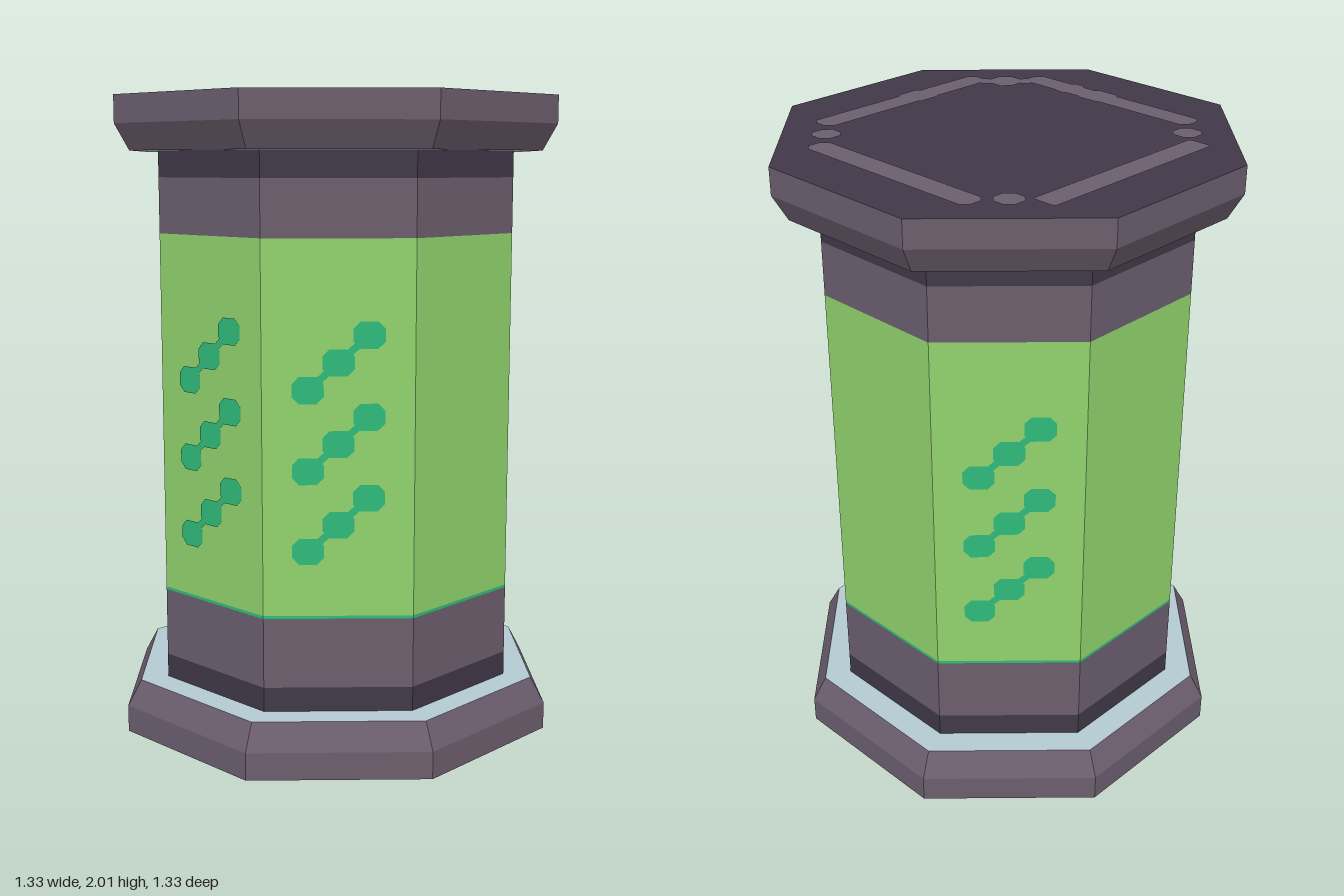
import * as THREE from 'three';

const mat = (name, color, extra = {}) => {
  const m = new THREE.MeshStandardMaterial({ color, flatShading: true, ...extra });
  m.name = name;
  return m;
};

export function createModel() {
  const green = mat('glowing green', 0x90d36c);
  const teal = mat('teal marking', 0x2fba79);
  const purple = mat('grey purple', 0x6b5d6d);
  const dark = mat('dark purple', 0x403847);
  const blue = mat('pale blue', 0xb4cad1);

  const model = new THREE.Group();
  model.name = 'canister';
  const R = 0.542; // distance from axis to a body face
  const corner = 1 / Math.cos(Math.PI / 8);

  const add = (parent, name, geometry, material) => {
    const mesh = new THREE.Mesh(geometry, material);
    mesh.name = name;
    parent.add(mesh);
    return mesh;
  };

  // Eight-sided prism with a flat face towards +z
  const prism = (rTop, rBottom, y0, y1, open = false) =>
    new THREE.CylinderGeometry(rTop * corner, rBottom * corner, y1 - y0, 8, 1, open)
      .rotateY(Math.PI / 8)
      .translate(0, (y0 + y1) / 2, 0);

  // Rectangle with cut corners, centred on x, y
  const blob = (x, y, w, h, c) => {
    const a = w / 2, b = h / 2;
    return new THREE.Shape([
      [-a + c, -b], [a - c, -b], [a, -b + c], [a, b - c],
      [a - c, b], [-a + c, b], [-a, b - c], [-a, -b + c],
    ].map(([px, py]) => new THREE.Vector2(x + px, y + py)));
  };

  // Body bands from bottom to top
  [
    ['lowerNeck', 0.165, 0.24, dark],
    ['lowerCollar', 0.24, 0.455, purple],
    ['tealSeam', 0.455, 0.464, teal],
    ['tank', 0.464, 1.585, green],
    ['upperCollar', 1.585, 1.755, purple],
    ['upperNeck', 1.755, 1.835, dark],
  ].forEach(([name, y0, y1, m]) => add(model, name, prism(R, R, y0, y1, true), m));

  // Stepped diagonal markings: three rows of three linked blobs
  const marks = [];
  for (const y of [0.743, 0.985, 1.226]) {
    for (const i of [-1, 0, 1]) marks.push(blob(i * 0.09, y + i * 0.081, 0.094, 0.08, 0.021));
    marks.push(new THREE.Shape([
      new THREE.Vector2(-0.085, y - 0.091), new THREE.Vector2(0.095, y + 0.071),
      new THREE.Vector2(0.085, y + 0.091), new THREE.Vector2(-0.095, y - 0.071),
    ]));
  }
  const markGeometry = new THREE.ShapeGeometry(marks).translate(0, 0, R + 0.003);
  for (const turn of [0, 1, 3, 5]) {
    add(model, 'tankMarking', markGeometry, teal).rotation.y = turn * Math.PI / 4;
  }

  // End cap, outer face at y = 0 and facing up
  const endCap = (name) => {
    const cap = new THREE.Group();
    cap.name = name;
    add(cap, 'capRim', prism(0.667, 0.667, -0.085, 0), [purple, dark, dark]);
    add(cap, 'capBevel', prism(0.667, 0.625, -0.165, -0.085), [purple, dark, blue]);

    // Broken inlay line; y here runs towards -z
    const inlay = [
      blob(-0.003, 0.461, 0.665, 0.08, 0.02),
      blob(-0.46, 0.002, 0.08, 0.665, 0.008),
      blob(0.457, -0.003, 0.08, 0.675, 0.02),
      blob(0.003, -0.457, 0.675, 0.08, 0.02),
      blob(0.46, -0.065, 0.098, 0.15, 0.04),
      blob(0.05, -0.46, 0.15, 0.098, 0.04),
      blob(0.17, -0.46, 0.11, 0.098, 0.04),
      blob(0.325, -0.42, 0.05, 0.06, 0.015),
      blob(0.42, -0.325, 0.06, 0.05, 0.015),
      blob(0.373, -0.372, 0.1, 0.1, 0.025),
      blob(-0.378, 0.379, 0.082, 0.082, 0.022),
      blob(0.375, 0.379, 0.082, 0.082, 0.022),
      blob(-0.378, -0.373, 0.082, 0.082, 0.022),
    ];
    add(cap, 'capInlay', new THREE.ShapeGeometry(inlay).rotateX(-Math.PI / 2).translate(0, 0.003, 0), purple);
    model.add(cap);
    return cap;
  };
  endCap('topCap').position.y = 2;
  endCap('bottomCap').rotation.z = Math.PI;

  return model;
}
